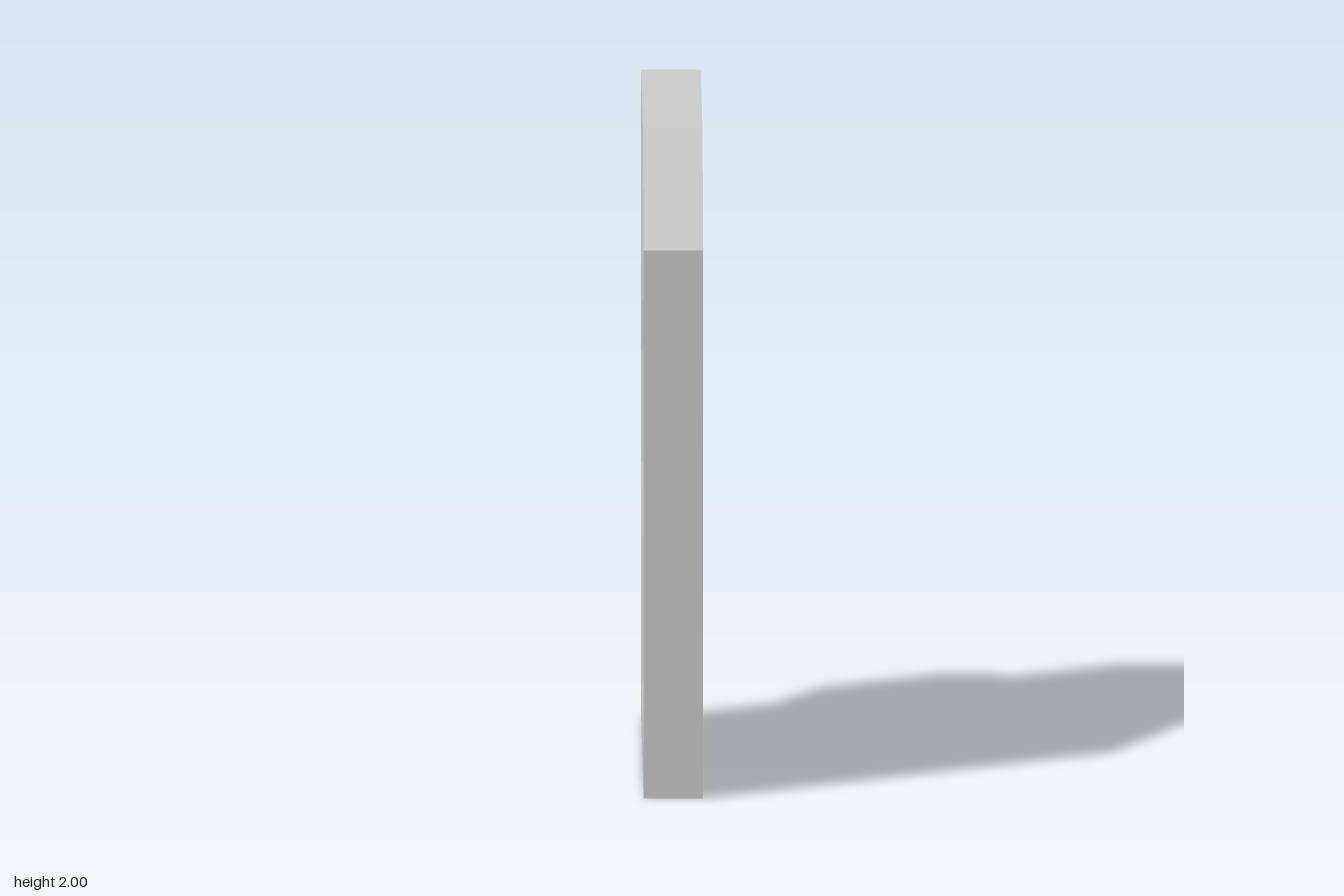
import * as THREE from 'three';

// Outlines as [z, y], both with matching corners
const OUTLINE = [[0.685, 0], [0.685, 1.69], [0.365, 2], [-0.525, 2], [-0.525, 1.395],
  [-0.685, 1.21], [-0.685, 0.735], [-0.525, 0.53], [-0.525, 0]];
const RIM = [[0.53, 0.14], [0.53, 1.6], [0.285, 1.86], [-0.36, 1.86], [-0.36, 1.33],
  [-0.52, 1.14], [-0.52, 0.79], [-0.36, 0.59], [-0.36, 0.14]];
const FLOOR = [[0.495, 0.175], [0.495, 1.585], [0.27, 1.83], [-0.325, 1.83], [-0.325, 1.315],
  [-0.485, 1.125], [-0.485, 0.805], [-0.325, 0.605], [-0.325, 0.175]];
// Face edge, pulled in slightly along the back for a fine chamfer
const FACE = OUTLINE.map(([z, y]) => [z < 0 ? z + 0.012 : z, y]);

const HALF = 0.09, CHAMFER = 0.006, RECESS = 0.01;

function slabGeometry() {
  // Half the loops, then the same ones mirrored to the other side
  const half = [[FLOOR, HALF - RECESS], [RIM, HALF], [FACE, HALF], [OUTLINE, HALF - CHAMFER]];
  const mirrored = half.map(([loop, x]) => [loop, -x]).reverse();
  const rings = [...half, ...mirrored];
  const n = OUTLINE.length;
  const positions = [], index = [];
  for (const [loop, x] of rings) for (const [z, y] of loop) positions.push(x, y, z);

  // Strips between neighbouring loops
  for (let r = 0; r < rings.length - 1; r++) {
    for (let i = 0; i < n; i++) {
      const j = (i + 1) % n;
      const a = r * n + i, b = r * n + j, c = a + n, d = b + n;
      index.push(a, b, d, a, d, c);
    }
  }

  // Recessed panel floors on both sides
  const points = FLOOR.map(([z, y]) => new THREE.Vector2(z, y));
  const last = (rings.length - 1) * n;
  for (const tri of THREE.ShapeUtils.triangulateShape(points, [])) {
    const ccw = THREE.ShapeUtils.area(tri.map((k) => points[k])) > 0;
    const [a, b, c] = ccw ? tri : [...tri].reverse();
    index.push(c, b, a, last + a, last + b, last + c);
  }

  const indexed = new THREE.BufferGeometry();
  indexed.setAttribute('position', new THREE.Float32BufferAttribute(positions, 3));
  indexed.setIndex(index);
  const geometry = indexed.toNonIndexed();
  geometry.computeVertexNormals();
  return geometry;
}

export function createModel() {
  const group = new THREE.Group();
  group.name = 'panelSlab';
  const material = new THREE.MeshStandardMaterial({ color: 0xcccccc, flatShading: true });
  const slab = new THREE.Mesh(slabGeometry(), material);
  slab.name = 'recessedDoorPanel';
  group.add(slab);
  return group;
}
